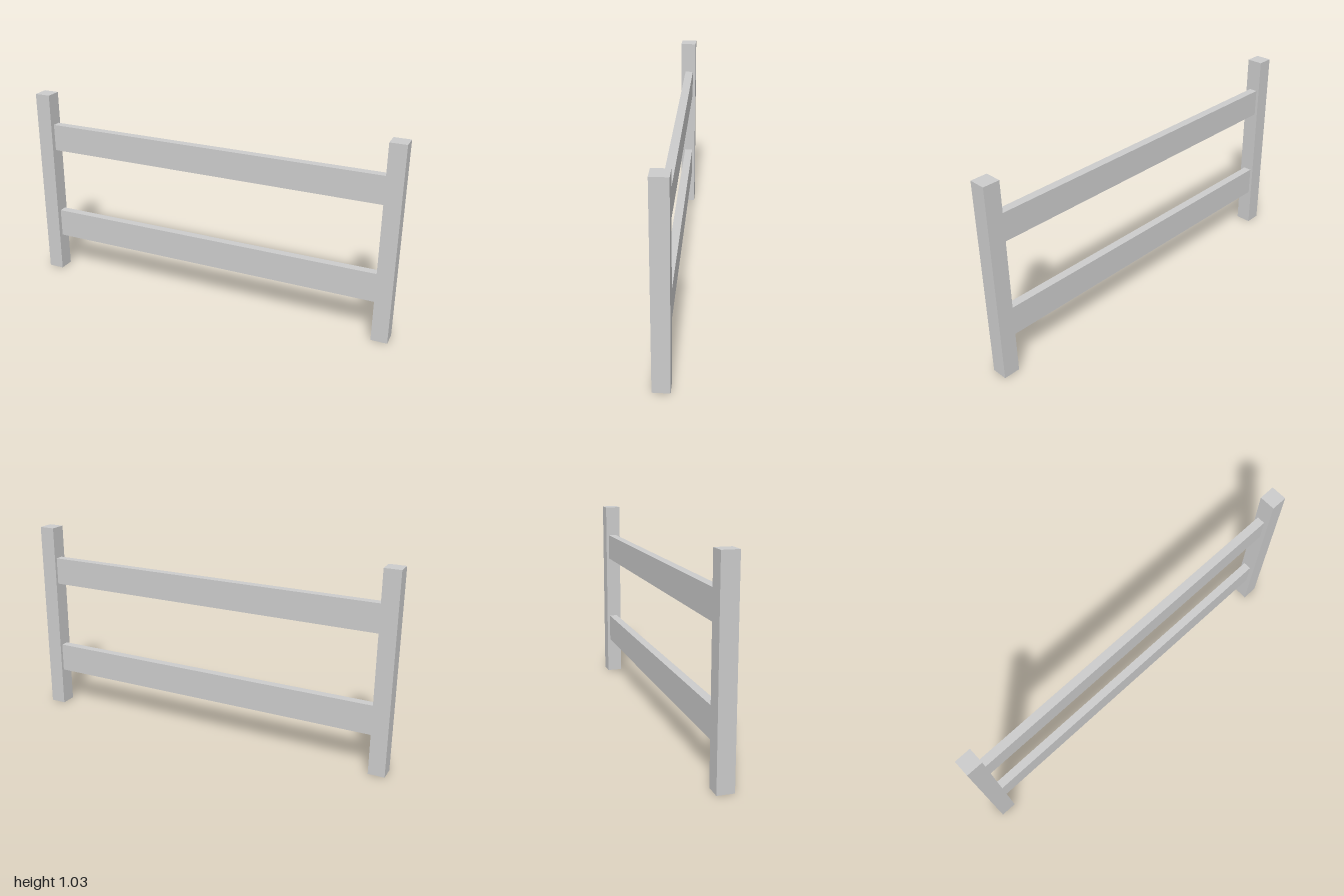
import * as THREE from 'three';

const material = new THREE.MeshStandardMaterial({ color: 0xcccccc, flatShading: true });

// Box given by its lower and upper corners
function box(name, [x0, y0, z0], [x1, y1, z1]) {
  const mesh = new THREE.Mesh(new THREE.BoxGeometry(x1 - x0, y1 - y0, z1 - z0), material);
  mesh.position.set((x0 + x1) / 2, (y0 + y1) / 2, (z0 + z1) / 2);
  mesh.name = name;
  return mesh;
}

export function createModel() {
  const fence = new THREE.Group();
  fence.name = 'fence';

  const postWidth = 0.084, postHeight = 1.035, inner = 1 - postWidth;

  // Square posts at both ends
  fence.add(box('leftPost', [inner, 0, -postWidth / 2], [1, postHeight, postWidth / 2]));
  fence.add(box('rightPost', [-1, 0, -postWidth / 2], [-inner, postHeight, postWidth / 2]));

  // Rails between the posts, set slightly towards the back
  for (const [name, bottom, top] of [['upperRail', 0.72, 0.865], ['lowerRail', 0.203, 0.357]]) {
    fence.add(box(name, [-inner, bottom, -0.027], [inner, top, 0.017]));
  }
  return fence;
}
